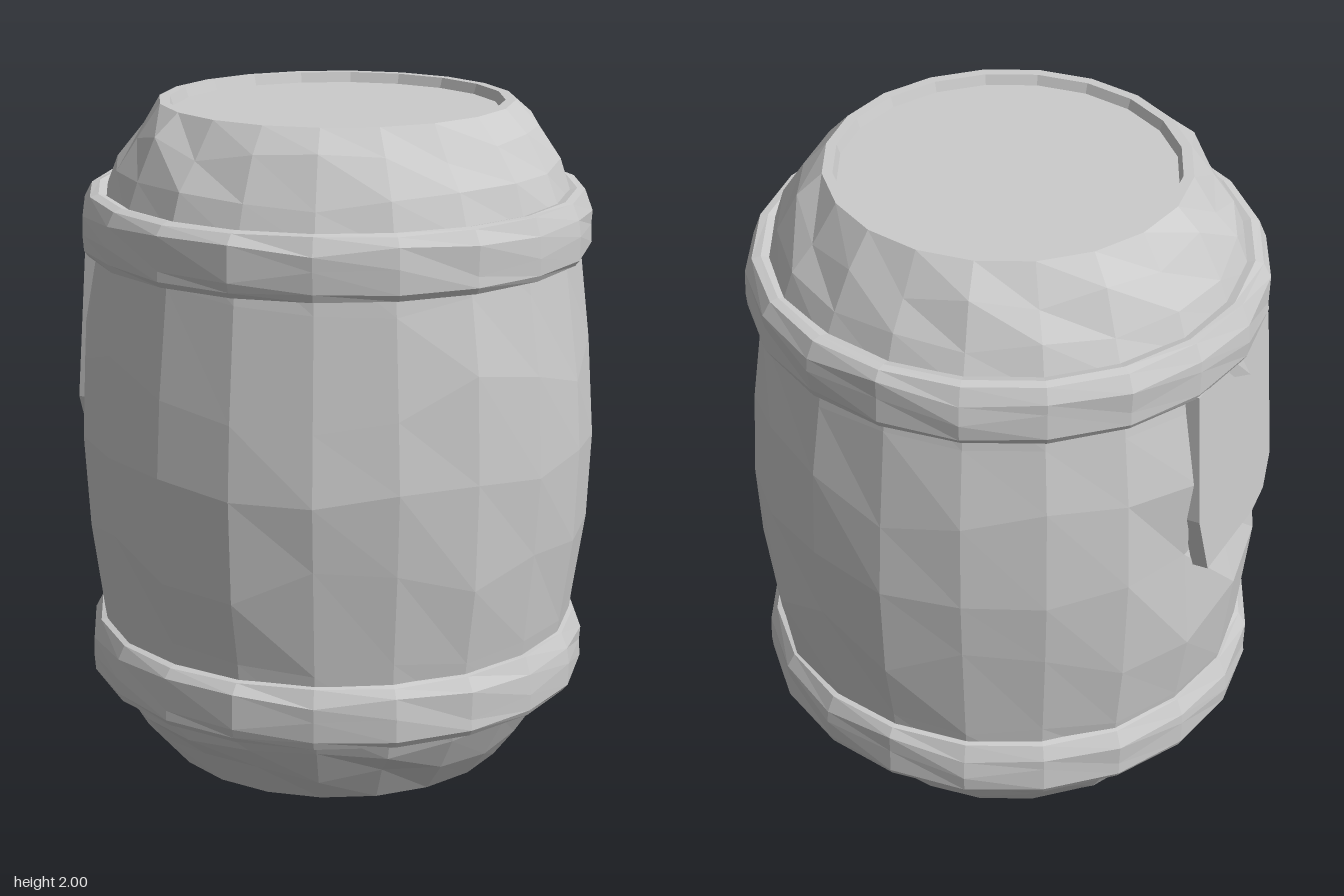
import * as THREE from 'three';

const SIDES = 20;
const material = new THREE.MeshStandardMaterial({ color: 0xcccccc, flatShading: true });

// Repeatable hand-hewn noise in -1..1
function noise(i, j, k) {
  const s = Math.sin(i * 127.1 + j * 311.7 + k * 74.7) * 43758.5453;
  return (s - Math.floor(s)) * 2 - 1;
}

// Turned shape; each profile point is [radius, y, radius wobble, height wobble]
function hewnLathe(name, profile, adjust) {
  const geo = new THREE.LatheGeometry(profile.map(([r, y]) => new THREE.Vector2(r, y)), SIDES);
  const pos = geo.attributes.position;
  for (let i = 0; i <= SIDES; i++) {
    const side = i % SIDES;
    const a = (side / SIDES) * Math.PI * 2;
    profile.forEach(([r, y, dr = 0, dy = 0], j) => {
      const p = new THREE.Vector3(0, y + dy * noise(side, j, 1), 0);
      const radius = r + dr * noise(side, j, 2);
      p.x = Math.sin(a) * radius;
      p.z = Math.cos(a) * radius;
      if (adjust) adjust(p);
      pos.setXYZ(i * profile.length + j, p.x, p.y, p.z);
    });
  }
  const mesh = new THREE.Mesh(geo.toNonIndexed(), material);
  mesh.geometry.computeVertexNormals();
  mesh.name = name;
  return mesh;
}

export function createModel() {
  const group = new THREE.Group();
  group.name = 'barrel';

  // Body: bulging staves with recessed lids, mirrored about the middle
  const lower = [
    [0, 0.03], [0.485, 0.03], [0.495, 0], [0.525, 0],
    [0.595, 0.09, 0.006, 0.03], [0.66, 0.19, 0.006, 0.02], [0.7, 0.3, 0.003, 0.01],
    [0.725, 0.47, 0.004, 0.03], [0.76, 0.73, 0.004, 0.08],
  ];
  const upper = lower.map(([r, y, dr, dy]) => [r, 2 - y, dr, dy]).reverse();

  // Outward direction of the flat repair plate on the -x side
  const out = new THREE.Vector3(-Math.sin(Math.PI * 0.4), 0, -Math.cos(Math.PI * 0.4));
  const body = hewnLathe('body', [...lower, [0.775, 1, 0.003, 0.02], ...upper], (p) => {
    // Staves are cut back where the plate sits
    const excess = p.dot(out) - 0.7;
    if (excess > 0.03 && p.y > 0.9 && p.y < 1.6) p.addScaledVector(out, -excess);
  });
  group.add(body);

  // Two chipped hoops
  for (const [name, y] of [['lowerHoop', 0.25], ['upperHoop', 1.56]]) {
    const hoop = hewnLathe(name, [
      [0.66, y], [0.745, y], [0.756, y + 0.02, 0.003, 0.005],
      [0.76, y + 0.075, 0.006, 0.03], [0.757, y + 0.135, 0.005, 0.02],
      [0.735, y + 0.178, 0.002, 0.004], [0.71, y + 0.183], [0.66, y + 0.17],
    ]);
    group.add(hoop);
  }

  // Flat plate with clipped lower corners, leaning with the staves
  const outline = [
    [-0.2, -0.32], [0.12, -0.33], [0.2, -0.3], [0.25, -0.2],
    [0.24, 0.3], [-0.235, 0.3], [-0.25, -0.12],
  ].map(([x, y]) => new THREE.Vector2(x, y));
  const plateGeo = new THREE.ExtrudeGeometry(new THREE.Shape(outline), { depth: 0.05, bevelEnabled: false });
  plateGeo.translate(0, 0, -0.05);
  plateGeo.rotateX(-0.065);
  const plate = new THREE.Mesh(plateGeo, material);
  plate.name = 'sidePlate';
  plate.position.copy(out).multiplyScalar(0.738).setY(1.27);
  plate.rotation.y = Math.atan2(out.x, out.z);
  group.add(plate);

  group.children.forEach((part) => { part.position.x += 0.008; });
  return group;
}
